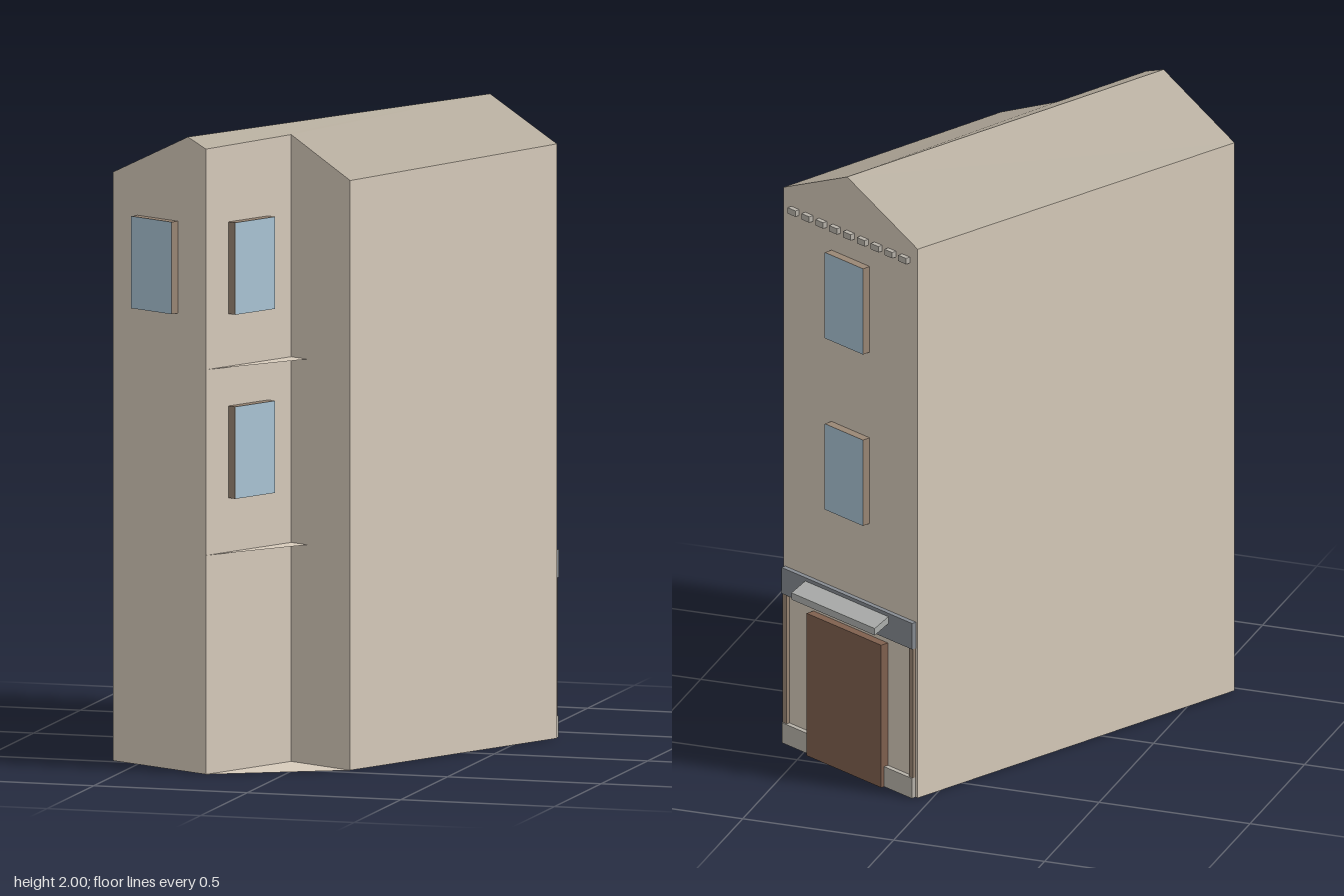
import * as THREE from 'three';

const material = (color, side = THREE.FrontSide) => {
  const m = new THREE.MeshStandardMaterial({ color, side });
  m.flatShading = true;
  return m;
};
const wallMat = material(0xd8ccbc);
const slabMat = material(0xd8ccbc, THREE.DoubleSide);
const roofMat = material(0xb4ab9c);
const frameMat = material(0x9a8775);
const glassMat = material(0xabc6d6);
const doorMat = material(0x80614f);
const fasciaMat = material(0x878c92);
const stoneMat = material(0xb9b4ab);
const awningMat = material(0xb0b2b0);

// Outline corners with their wall-top heights, counter-clockwise from above
const P = {
  frontLeft: [-0.595, 1.855, 0.48],
  frontRidge: [-0.305, 2.0, 0.633],
  frontRight: [-0.235, 1.97, 0.67],
  notch: [-0.06, 1.975, 0.333],
  sideCorner: [0.17, 1.858, 0.457],
  streetRight: [0.592, 1.873, -0.37],
  streetRidge: [0.332, 2.0, -0.507],
  streetLeft: [0.043, 1.858, -0.66],
};
const outline = Object.values(P);
const at = (p, y) => [p[0], y, p[2]];

// Flat-shaded mesh from convex polygons, each split into a fan
function polygons(name, faces, mat) {
  const v = [];
  for (const f of faces)
    for (let i = 1; i < f.length - 1; i++) v.push(...f[0], ...f[i], ...f[i + 1]);
  const g = new THREE.BufferGeometry();
  g.setAttribute('position', new THREE.Float32BufferAttribute(v, 3));
  g.computeVertexNormals();
  const mesh = new THREE.Mesh(g, mat);
  mesh.name = name;
  return mesh;
}

// Box resting on its wall: x centre, bottom y, and z = 0 at the wall face
function box(name, w, h, d, x, y, mat) {
  const mesh = new THREE.Mesh(new THREE.BoxGeometry(w, h, d), mat);
  mesh.position.set(x, y + h / 2, d / 2);
  mesh.name = name;
  return mesh;
}

// Group at the middle of wall a-b whose local +z points outwards
function wallGroup(name, a, b) {
  const g = new THREE.Group();
  g.name = name;
  g.position.set((a[0] + b[0]) / 2, 0, (a[2] + b[2]) / 2);
  g.rotation.y = Math.atan2(-(b[2] - a[2]), b[0] - a[0]);
  return g;
}

// Projecting window: frame box with a glazed front
function windowBox(x, y) {
  const w = 0.177, h = 0.29, d = 0.028;
  const g = new THREE.Group();
  g.name = 'window';
  g.add(box('windowFrame', w, h, d, x, y, frameMat));
  const pane = new THREE.Mesh(new THREE.PlaneGeometry(w, h), glassMat);
  pane.position.set(x, y + h / 2, d + 0.001);
  pane.name = 'windowPane';
  g.add(pane);
  return g;
}

export function createModel() {
  const model = new THREE.Group();
  model.name = 'townhouse';

  // Walls, with the gables formed by the ridge points
  model.add(polygons('walls', outline.map((p, i) => {
    const q = outline[(i + 1) % outline.length];
    return [at(p, 0), at(q, 0), q, p];
  }), wallMat));

  // Two roof slopes; the second wraps round the notch
  model.add(polygons('roof', [
    [P.frontLeft, P.frontRidge, P.streetRidge, P.streetLeft],
    [P.streetRidge, P.frontRidge, P.frontRight, P.notch, P.sideCorner, P.streetRight],
  ], roofMat));

  // Ground slab closes the notch
  model.add(polygons('groundSlab', [
    [P.streetLeft, P.streetRight, P.sideCorner, P.frontRight, P.frontLeft].map((p) => at(p, 0)),
  ], slabMat));

  // Thin triangular ledges in the notch at each upper floor
  const ledgeTip = [0.003, 0, 0.367];
  for (const y of [0.69, 1.275])
    model.add(polygons('floorLedge', [
      [P.frontRight, ledgeTip, P.notch].map((p) => at(p, y)),
    ], slabMat));

  // Windows on the narrow front wall and in the notch
  const front = wallGroup('frontWall', P.frontLeft, P.frontRight);
  front.add(windowBox(-0.008, 1.44));
  const inner = wallGroup('notchWall', P.frontRight, P.notch);
  inner.add(windowBox(0, 0.86), windowBox(0, 1.44));

  // Street side: windows, cornice blocks and shop front
  const street = wallGroup('streetWall', P.streetRight, P.streetLeft);
  street.add(windowBox(0, 0.86), windowBox(0, 1.44));
  for (let i = -4; i <= 4; i++)
    street.add(box('corniceBlock', 0.036, 0.02, 0.016, i * 0.064, 1.8, stoneMat));

  street.add(box('fascia', 0.605, 0.088, 0.016, 0, 0.505, fasciaMat));
  street.add(box('door', 0.345, 0.482, 0.028, 0, 0, doorMat));
  for (const s of [-1, 1]) {
    street.add(box('plinth', 0.128, 0.068, 0.016, s * 0.237, 0, stoneMat));
    street.add(box('pilaster', 0.018, 0.437, 0.012, s * 0.292, 0.068, frameMat));
  }

  // Sloping awning with a shallow front edge
  const profile = new THREE.Shape([
    [0, 0.588], [0.074, 0.558], [0.074, 0.535], [0, 0.565],
  ].map(([x, y]) => new THREE.Vector2(x, y)));
  const awningGeo = new THREE.ExtrudeGeometry(profile, { depth: 0.385, bevelEnabled: false });
  awningGeo.rotateY(-Math.PI / 2).translate(0.1925, 0, 0);
  const awning = new THREE.Mesh(awningGeo, awningMat);
  awning.name = 'awning';
  street.add(awning);

  model.add(front, inner, street);
  return model;
}
